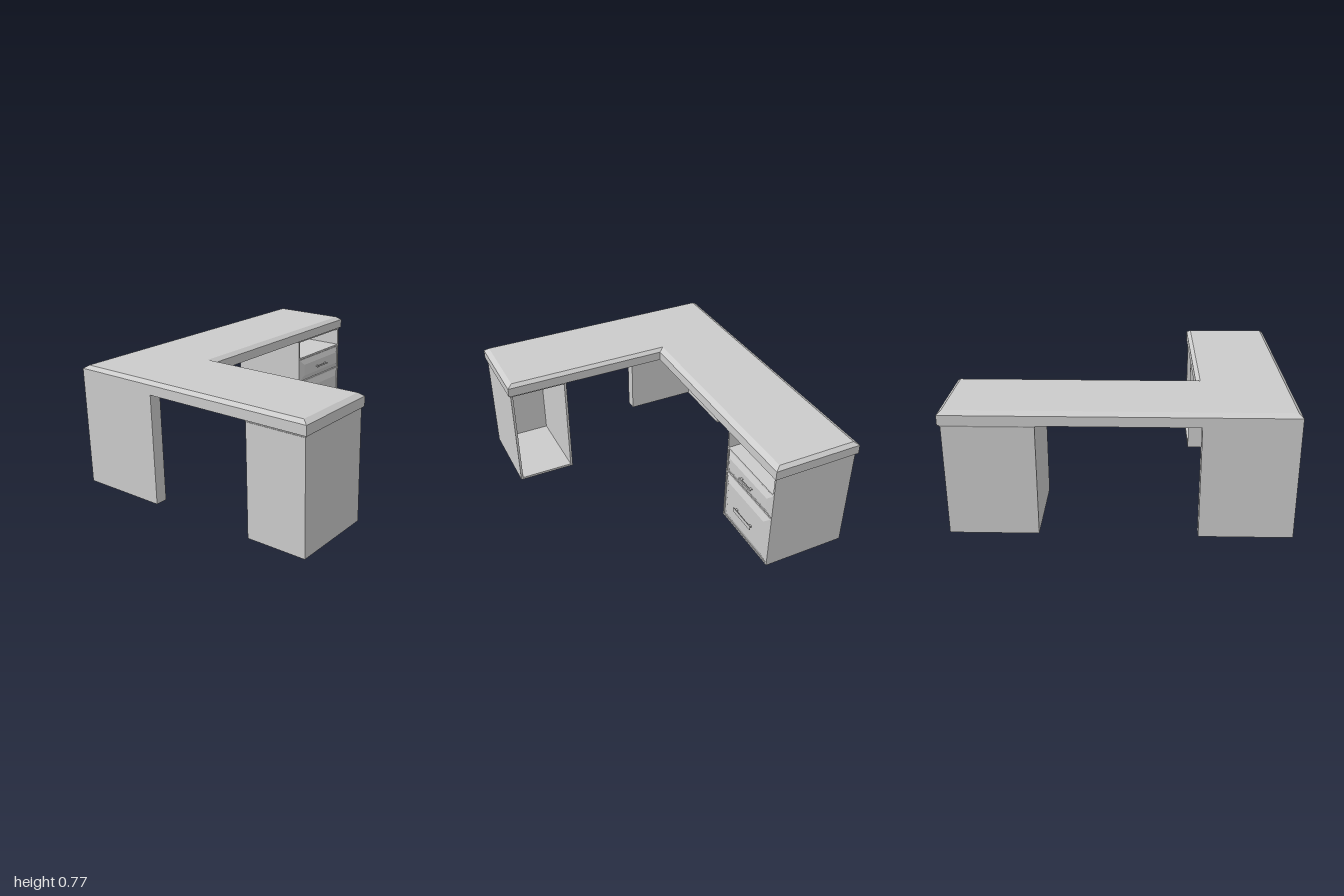
import * as THREE from 'three';

const material = new THREE.MeshStandardMaterial({ color: 0xcccccc, flatShading: true });

// Box given by its min and max corners
function block(name, [x0, y0, z0], [x1, y1, z1]) {
  const geo = new THREE.BoxGeometry(x1 - x0, y1 - y0, z1 - z0);
  geo.translate((x0 + x1) / 2, (y0 + y1) / 2, (z0 + z1) / 2);
  const mesh = new THREE.Mesh(geo, material);
  mesh.name = name;
  return mesh;
}

// Box whose face at position "plane" on an axis is inset on the other two axes
function taperedBlock(name, min, max, axis, plane, inset) {
  const mesh = block(name, min, max);
  const pos = mesh.geometry.attributes.position;
  for (let i = 0; i < pos.count; i++) {
    if (Math.abs(pos.getComponent(i, axis) - plane) > 1e-4) continue;
    for (let a = 0; a < 3; a++) {
      if (a === axis) continue;
      const mid = (min[a] + max[a]) / 2;
      const v = pos.getComponent(i, a);
      pos.setComponent(i, a, v - Math.sign(v - mid) * inset);
    }
  }
  mesh.geometry.computeVertexNormals();
  return mesh;
}

// L-shaped outline in plan (x, z) extruded upwards from y = 0 to y = height
function extrudePlan(points, height, steps = 1) {
  const shape = new THREE.Shape(points.map(([x, z]) => new THREE.Vector2(x, -z)));
  const geo = new THREE.ExtrudeGeometry(shape, { depth: height, steps, bevelEnabled: false });
  return geo.rotateX(-Math.PI / 2);
}

// L-shaped desktop: upright edge below, chamfer above
function makeDesktop() {
  const outline = [[-0.82, -1], [-0.255, -1], [-0.255, 0.45], [0.82, 0.45], [0.82, 1], [-0.82, 1]];
  const geo = extrudePlan(outline, 2, 2);
  const levels = [0.693, 0.752, 0.772];
  const pos = geo.attributes.position;
  for (let i = 0; i < pos.count; i++) {
    const level = Math.round(pos.getY(i));
    pos.setY(i, levels[level]);
    if (level < 2) continue;
    const x = pos.getX(i), z = pos.getZ(i);
    pos.setX(i, x + (x < -0.8 ? 0.032 : -0.032));
    pos.setZ(i, z + (z > 0.99 ? -0.024 : 0.024));
  }
  geo.computeVertexNormals();
  const mesh = new THREE.Mesh(geo, material);
  mesh.name = 'desktop';
  return mesh;
}

// Corner support made of two panels meeting at the outer corner
function makeCornerLeg() {
  const t = 0.075;
  const outline = [[-0.82, 0.455], [-0.82 + t, 0.455], [-0.82 + t, 1 - t],
    [-0.255, 1 - t], [-0.255, 1], [-0.82, 1]];
  const mesh = new THREE.Mesh(extrudePlan(outline, 0.683), material);
  mesh.position.y = 0.01;
  mesh.name = 'cornerLeg';
  return mesh;
}

// Cabinet open towards -z under the short arm
function makeOpenPedestal() {
  const g = new THREE.Group();
  g.name = 'openPedestal';
  const x0 = 0.427, x1 = 0.807, z0 = 0.46, z1 = 0.988, t = 0.015, h = 0.68;
  g.add(
    block('innerSide', [x0, 0.003, z0], [x0 + t, h, z1]),
    block('outerSide', [x1 - t, 0.003, z0], [x1, h, z1]),
    block('frontPanel', [x0 + t, 0.003, z1 - t], [x1 - t, h, z1]),
    block('floorPanel', [x0, 0, z0], [x1, t, z1]),
    taperedBlock('topMoulding', [x0 - 0.008, h, z0 - 0.006], [x1 + 0.008, 0.694, z1 + 0.006], 1, h, 0.008),
  );
  return g;
}

// Pull handle: bar carried on two short posts, facing +x
function makeHandle(name, y, height, z, width) {
  const g = new THREE.Group();
  g.name = name;
  const h = height / 2, w = width / 2;
  g.add(taperedBlock('handleBar', [-0.244, y - h, z - w], [-0.236, y + h, z + w], 0, -0.244, height * 0.25));
  for (const s of [-1, 1]) {
    const c = z + s * w * 0.8;
    g.add(block('handlePost', [-0.258, y - h * 0.4, c - 0.008], [-0.242, y + h * 0.4, c + 0.008]));
  }
  return g;
}

// Drawer pedestal opening towards +x at the end of the long arm
function makeDrawerPedestal() {
  const g = new THREE.Group();
  g.name = 'drawerPedestal';
  const x0 = -0.81, x1 = -0.268, z0 = -0.985, z1 = -0.465, t = 0.012, y0 = 0.012, h = 0.68;
  g.add(
    block('backSide', [x0, y0, z0], [x1, h, z0 + t]),
    block('kneeSide', [x0, y0, z1 - t], [x1, h, z1]),
    block('rearPanel', [x0, y0, z0 + t], [x0 + t, h, z1 - t]),
    taperedBlock('topMoulding', [x0 - 0.008, h, z0 - 0.008], [x1 + 0.008, 0.694, z1 + 0.008], 1, h, 0.008),
  );
  // Floor, rail between drawers, and shelf
  for (const [name, y] of [['floorPanel', y0], ['drawerRail', 0.372], ['shelf', 0.55]]) {
    g.add(block(name, [x0 + t, y, z0 + t], [x1, y + t, z1 - t]));
  }
  // Drawers with raised, chamfered fronts
  const drawers = [
    { name: 'upperDrawer', y: [0.388, 0.546], inset: 0.038, handle: [0.465, 0.012, 0.13] },
    { name: 'lowerDrawer', y: [0.026, 0.37], inset: 0.045, handle: [0.192, 0.03, 0.2] },
  ];
  for (const d of drawers) {
    const [a, b] = d.y, zc = -0.725;
    g.add(
      block(d.name + 'Box', [-0.78, a, z0 + 0.015], [-0.272, b, z1 - 0.015]),
      taperedBlock(d.name + 'Front', [-0.272, a, z0 + 0.015], [-0.256, b, z1 - 0.015], 0, -0.256, d.inset),
      makeHandle(d.name + 'Handle', d.handle[0], d.handle[1], zc, d.handle[2]),
    );
  }
  return g;
}

export function createModel() {
  const model = new THREE.Group();
  model.name = 'cornerDesk';
  model.add(makeDesktop(), makeCornerLeg(), makeOpenPedestal(), makeDrawerPedestal());
  return model;
}
